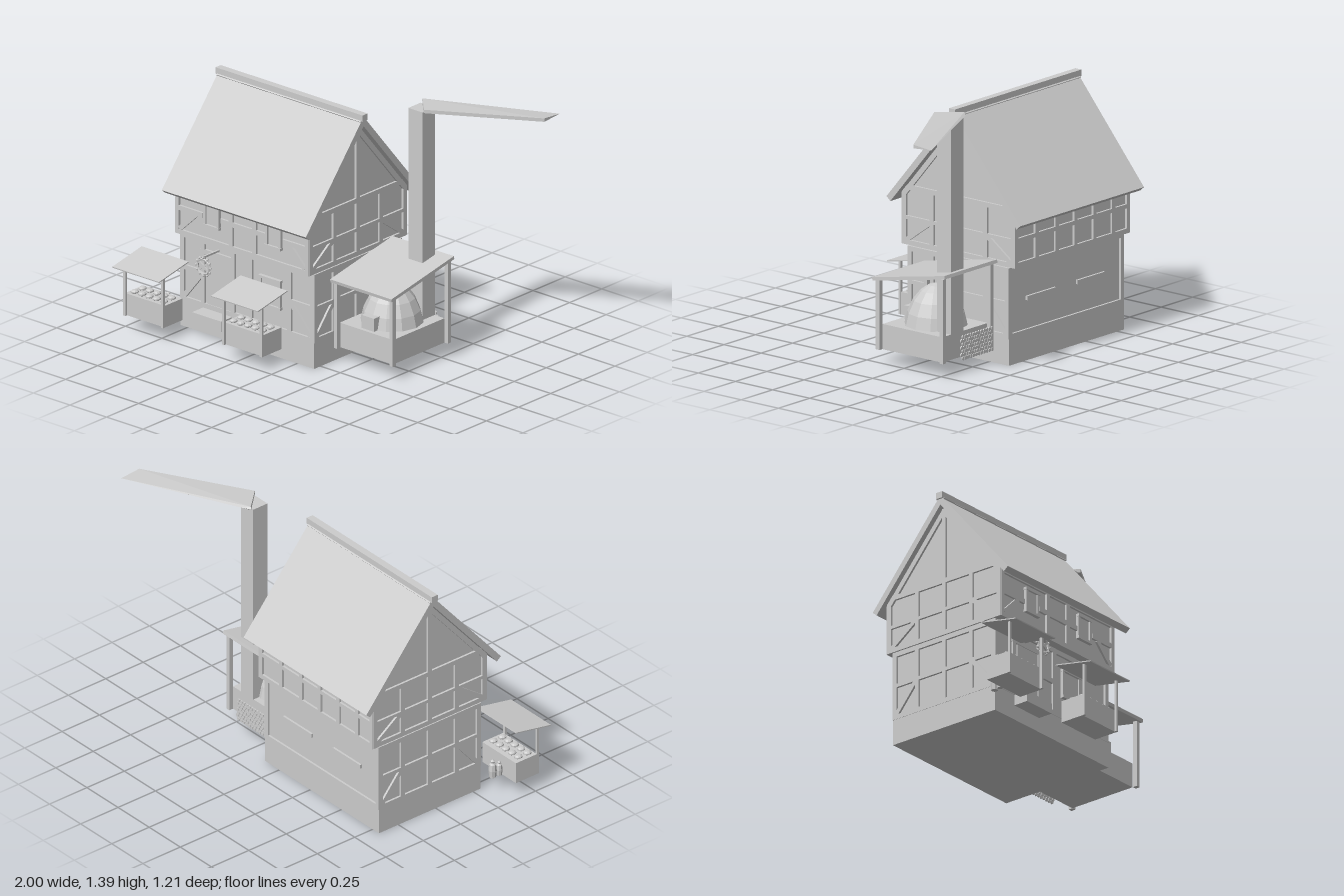
import * as THREE from 'three';
import { ConvexGeometry } from 'three/addons/geometries/ConvexGeometry.js';

const clay = new THREE.MeshStandardMaterial({ color: 0xcccccc });
clay.name = 'light grey';
clay.flatShading = true;

function add(parent, name, geo, x = 0, y = 0, z = 0) {
  const m = new THREE.Mesh(geo, clay);
  m.name = name;
  m.position.set(x, y, z);
  parent.add(m);
  return m;
}

// Box given by its limits on each axis
function box(parent, name, x0, x1, y0, y1, z0, z1) {
  return add(parent, name, new THREE.BoxGeometry(x1 - x0, y1 - y0, z1 - z0),
    (x0 + x1) / 2, (y0 + y1) / 2, (z0 + z1) / 2);
}

// Timber lying on a wall plane, from one point to another
function beam(wall, x0, y0, x1, y1, w = 0.026) {
  const m = add(wall, 'timber', new THREE.BoxGeometry(Math.hypot(x1 - x0, y1 - y0), w, 0.024),
    (x0 + x1) / 2, (y0 + y1) / 2, 0);
  m.rotation.z = Math.atan2(y1 - y0, x1 - x0);
}

function wallGroup(parent, name, x, z, turn) {
  const g = new THREE.Group();
  g.name = name;
  g.position.set(x, 0, z);
  g.rotation.y = turn;
  parent.add(g);
  return g;
}

// Sill, head and posts of one storey on one wall
function frame(wall, u0, u1, y0, y1, posts) {
  beam(wall, u0, y0 + 0.013, u1, y0 + 0.013);
  beam(wall, u0, y1 - 0.013, u1, y1 - 0.013);
  for (const u of [u0 + 0.013, u1 - 0.013, ...posts]) beam(wall, u, y0, u, y1);
}

const XL = -0.8, XR = 0.115, RZ = -0.04;

function house(g) {
  box(g, 'foundation', XL, XR, 0, 0.14, -0.38, 0.3);
  box(g, 'lowerWalls', XL + 0.01, XR - 0.01, 0.14, 0.53, -0.37, 0.29);
  // Upper storey and gables in one prism
  const s = new THREE.Shape([[0.33, 0.525], [0.33, 0.8], [RZ, 1.245], [-0.41, 0.8], [-0.41, 0.525]]
    .map(([z, y]) => new THREE.Vector2(-z, y)));
  const len = XR - XL - 0.02;
  const up = add(g, 'upperWalls', new THREE.ExtrudeGeometry(s, { depth: len, bevelEnabled: false }), XL + 0.01);
  up.rotation.y = Math.PI / 2;

  // Side walls with gables
  for (const side of [1, -1]) {
    const w = wallGroup(g, side > 0 ? 'leftTimbers' : 'rightTimbers', side > 0 ? XR - 0.01 : XL + 0.01, RZ, side * Math.PI / 2);
    frame(w, -0.34, 0.34, 0.14, 0.52, [-0.18, 0, 0.18]);
    frame(w, -0.378, 0.378, 0.525, 0.845, [-0.18, 0, 0.18]);
    beam(w, -0.33, 0.33, 0.33, 0.33, 0.02);
    beam(w, -0.37, 0.67, 0.37, 0.67, 0.018);
    beam(w, 0, 0.84, 0, 1.24);
    for (const k of [-1, 1]) {
      beam(w, k * 0.32, 0.165, k * 0.19, 0.32, 0.024);
      beam(w, k * 0.35, 0.55, k * 0.19, 0.665, 0.024);
      beam(w, k * 0.365, 0.795, 0, 1.227, 0.028);
    }
  }

  // Front timbers
  const low = wallGroup(g, 'frontLowerTimbers', 0, 0.29, 0);
  frame(low, XL, XR, 0.14, 0.52, [-0.645, -0.44, -0.32, -0.055]);
  for (const [a, b] of [[XL, -0.645], [-0.44, -0.32], [-0.055, XR]]) beam(low, a, 0.33, b, 0.33);
  beam(low, -0.775, 0.17, -0.655, 0.32);
  beam(low, 0.09, 0.17, -0.045, 0.32);
  beam(low, -0.66, 0.45, -0.44, 0.45);
  const high = wallGroup(g, 'frontUpperTimbers', 0, 0.325 + 0.005, 0);
  frame(high, XL, XR, 0.525, 0.8, [-0.42, -0.26]);
  for (const [a, b] of [[XL, -0.61], [-0.49, -0.185], [-0.065, XR]]) beam(high, a, 0.67, b, 0.67);
  beam(high, -0.77, 0.555, -0.66, 0.66);
  beam(high, 0.085, 0.555, -0.02, 0.66);

  // Back timbers
  const bl = wallGroup(g, 'backLowerTimbers', 0, -0.37, Math.PI);
  frame(bl, -XR, -XL, 0.14, 0.52, []);
  beam(bl, 0.03, 0.33, 0.26, 0.33, 0.022);
  beam(bl, 0.43, 0.33, 0.65, 0.33, 0.022);
  const bu = wallGroup(g, 'backUpperTimbers', 0, -0.41, Math.PI);
  frame(bu, -XR, -XL, 0.525, 0.8, [0.06, 0.22, 0.37, 0.52, 0.67]);
  beam(bu, -XR, 0.67, -XL, 0.67, 0.022);

  // Roof slopes and ridge
  const rl = 0.6976, th = 0.034, tilt = Math.atan2(0.533, 0.45);
  for (const k of [1, -1]) {
    const r = add(g, k > 0 ? 'frontRoof' : 'backRoof', new THREE.BoxGeometry(0.985, th, rl),
      -0.3375, 1.0385 - 0.645 * th / 2, RZ + k * (0.225 - 0.764 * th / 2));
    r.rotation.x = k * tilt;
  }
  box(g, 'ridgeCap', -0.84, 0.165, 1.285, 1.32, RZ - 0.02, RZ + 0.02);
}

// Window with frame, pane and sill
function windowAt(g, x, y, z, w, h) {
  const n = wallGroup(g, 'window', x, z, 0);
  box(n, 'pane', -w / 2, w / 2, y - h / 2, y + h / 2, -0.01, 0.008);
  for (const k of [-1, 1]) {
    box(n, 'windowJamb', k * w / 2 - 0.008, k * w / 2 + 0.008, y - h / 2, y + h / 2, -0.01, 0.016);
    box(n, 'windowRail', -w / 2 - 0.01, w / 2 + 0.01, y + k * h / 2 - 0.007, y + k * h / 2 + 0.007, -0.01, 0.02);
  }
}

// Market stall with counter, sloping canopy and loaves
function stall(parent, x, z) {
  const g = wallGroup(parent, 'stall', x, z, 0);
  box(g, 'counter', -0.135, 0.135, 0.08, 0.2, -0.14, 0);
  for (const k of [-1, 1]) box(g, 'stallPost', k * 0.129 - 0.007, k * 0.129 + 0.007, 0.08, 0.368, 0, 0.014);
  const c = add(g, 'canopy', new THREE.BoxGeometry(0.32, 0.006, 0.234), 0, 0.38, -0.043);
  c.rotation.x = 0.19;
  for (let i = 0; i < 5; i++) for (let j = 0; j < 2; j++) {
    const b = add(g, 'loaf', new THREE.SphereGeometry(1, 8, 5), -0.1 + i * 0.05, 0.207, -0.035 - j * 0.06);
    b.scale.set(0.021, 0.012, 0.024);
  }
}

function sign(parent) {
  const g = wallGroup(parent, 'hangingSign', -0.545, 0.41, 0);
  box(g, 'signArm', -0.005, 0.005, 0.472, 0.482, -0.12, 0.005);
  add(g, 'signRing', new THREE.TorusGeometry(0.04, 0.007, 5, 16), 0, 0.425, 0);
  for (let i = 0; i < 12; i++) {
    const a = i * Math.PI / 6;
    add(g, 'ringKnob', new THREE.SphereGeometry(0.008, 6, 4), 0.049 * Math.cos(a), 0.425 + 0.049 * Math.sin(a), 0);
  }
  for (const k of [-1, 1]) box(g, 'signCross', -0.038, 0.038, -0.006, 0.006, -0.004, 0.004)
    .position.set(0, 0.425, 0);
  g.children.slice(-2).forEach((m, i) => { m.rotation.z = (i ? 1 : -1) * 0.6; });
}

function bakery(parent) {
  const g = wallGroup(parent, 'bakeOven', 0, 0, 0);
  box(g, 'ovenBase', 0.145, 0.51, 0.08, 0.215, -0.265, 0.135);
  for (const x of [0.13, 0.51]) {
    box(g, 'frontPost', x, x + 0.023, 0.08, 0.455, 0.138, 0.164);
    box(g, 'backPost', x, x + 0.023, 0.08, 0.53, -0.29, -0.265);
  }
  const roof = add(g, 'shelterRoof', new THREE.BoxGeometry(0.42, 0.018, 0.495), 0.33, 0.5, -0.063);
  roof.rotation.x = Math.atan2(0.093, 0.487);
  const prof = [[0.165, 0], [0.15, 0.065], [0.12, 0.13], [0.08, 0.18], [0.04, 0.208], [0, 0.218]];
  add(g, 'ovenDome', new THREE.LatheGeometry(prof.map(p => new THREE.Vector2(...p)), 12), 0.325, 0.215, -0.068);
  box(g, 'ovenMouth', 0.278, 0.362, 0.215, 0.287, 0.02, 0.115);
  box(g, 'chimney', 0.345, 0.442, 0.215, 1.365, -0.268, -0.172);
  // Flat plume drifting from the chimney top
  const pts = [[0.34, 1.375, -0.285], [0.38, 1.378, -0.312], [1, 1.376, -0.605]];
  for (const y of [1.367, 1.386]) pts.push([1, y, -0.485], [0.455, y, -0.165], [0.35, y, -0.28]);
  add(g, 'smoke', new ConvexGeometry(pts.map(p => new THREE.Vector3(...p))));
  // Stacked log ends behind the oven
  for (let r = 0; r < 7; r++) for (let c = 0; c < 12; c++) {
    const m = add(g, 'logEnd', new THREE.CylinderGeometry(0.0105, 0.0105, 0.007, 6),
      0.172 + c * 0.021 + (r % 2) * 0.0105, 0.09 + r * 0.0187, -0.315);
    m.rotation.x = Math.PI / 2;
  }
}

export function createModel() {
  const g = new THREE.Group();
  g.name = 'bakeryHouse';
  house(g);
  // Door with step
  box(g, 'door', -0.615, -0.455, 0.165, 0.44, 0.28, 0.298);
  box(g, 'doorStep', -0.645, -0.445, 0.08, 0.138, 0.29, 0.385);
  windowAt(g, -0.55, 0.685, 0.33, 0.09, 0.125);
  windowAt(g, -0.128, 0.685, 0.33, 0.09, 0.125);
  windowAt(g, -0.185, 0.345, 0.29, 0.13, 0.15);
  stall(g, -0.84, 0.53);
  stall(g, -0.195, 0.495);
  sign(g);
  // Lidded jars beside the stall
  const jar = [[0, 0], [0.018, 0], [0.022, 0.04], [0.018, 0.075], [0.009, 0.085], [0.012, 0.095], [0, 0.105]];
  for (const [x, z, s] of [[-0.85, 0.338, 1], [-0.855, 0.378, 0.8]])
    add(g, 'jar', new THREE.LatheGeometry(jar.map(p => new THREE.Vector2(...p)), 8), x, 0.08, z).scale.setScalar(s);
  bakery(g);
  return g;
}
